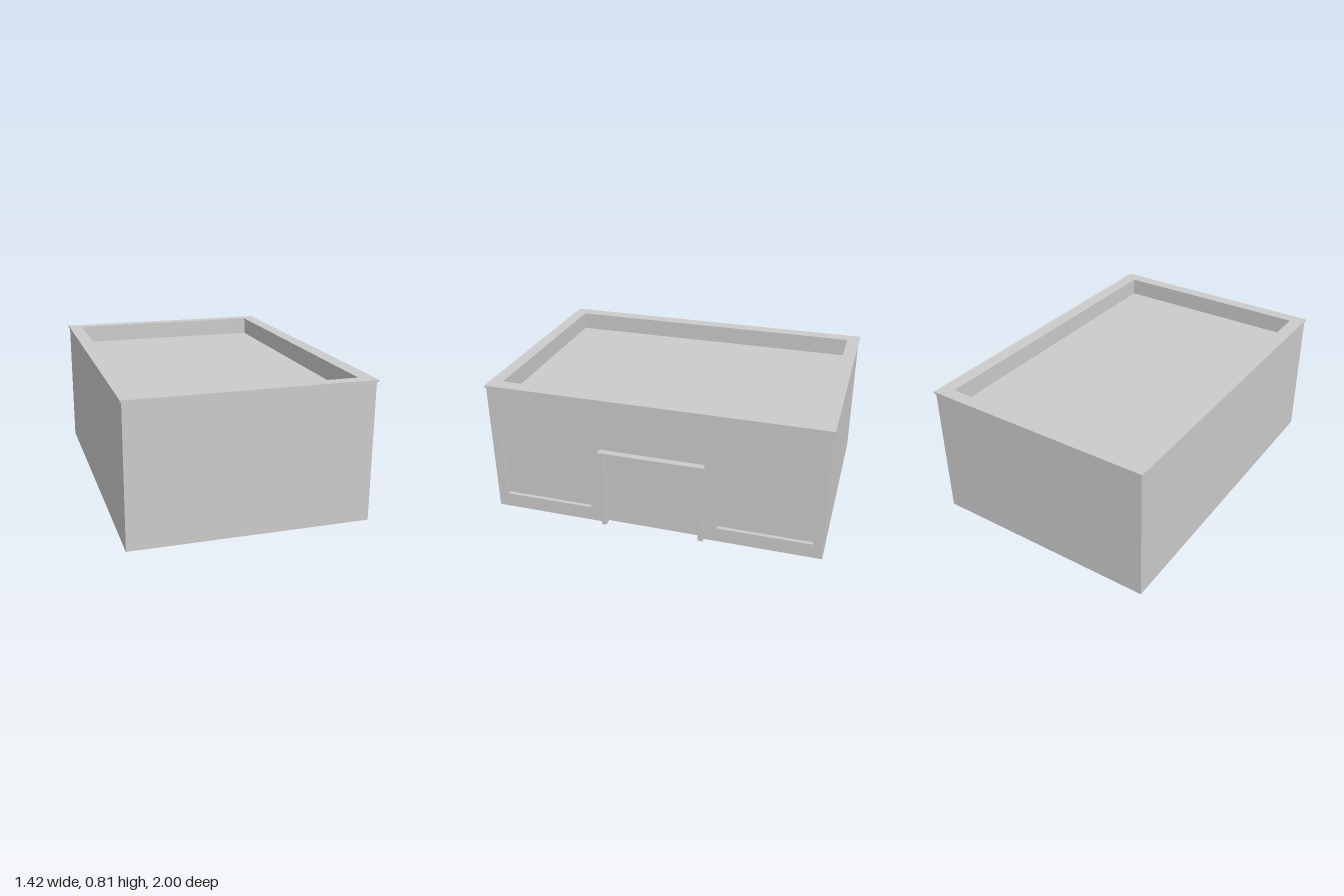
import * as THREE from 'three';

const X0 = -0.703, X1 = 0.669, Z = 0.993;    // outer wall planes
const IX0 = -0.634, IX1 = 0.6, IZ = 0.93;    // inner parapet planes
const WALL_TOP = 0.799, TOP = 0.81, DECK = 0.698;
const PANE = 0.645;                          // plane of the recessed panes and door

const solid = new THREE.MeshStandardMaterial({ color: 0xcccccc, flatShading: true });
const sheet = new THREE.MeshStandardMaterial({ color: 0xcccccc, flatShading: true, side: THREE.DoubleSide });

const rect = (x0, y0, x1, y1, Type = THREE.Shape) =>
  new Type([[x0, y0], [x1, y0], [x1, y1], [x0, y1]].map(p => new THREE.Vector2(...p)));

const polygon = pts => new THREE.Shape(pts.map(p => new THREE.Vector2(...p)));

function add(parent, name, geometry, material) {
  const mesh = new THREE.Mesh(geometry, material);
  mesh.name = name;
  parent.add(mesh);
  return mesh;
}

// Flat four-cornered sheet, corners counter-clockwise from its front
function quad(parent, name, ...corners) {
  const g = new THREE.BufferGeometry();
  g.setAttribute('position', new THREE.Float32BufferAttribute(corners.flat(), 3));
  g.setIndex([0, 1, 2, 0, 2, 3]);
  g.computeVertexNormals();
  return add(parent, name, g, sheet);
}

// Vertical sheets around a rectangle, facing outward or inward
function ring(parent, name, x0, x1, z, y0, y1, inward, skipRight) {
  const c = [[x0, z], [x1, z], [x1, -z], [x0, -z]];
  c.forEach(([ax, az], i) => {
    if (skipRight && i === 1) return;
    const [bx, bz] = c[(i + 1) % 4];
    const q = [[ax, y0, az], [bx, y0, bz], [bx, y1, bz], [ax, y1, az]];
    quad(parent, name, ...(inward ? q.reverse() : q));
  });
}

// Recess behind an opening in the right wall: back panel and reveals
function recess(parent, name, z0, z1, y0, y1, withSill) {
  const g = new THREE.Group();
  g.name = name;
  const a = PANE, b = X1;
  quad(g, name + 'Panel', [a, y0, z1], [a, y0, z0], [a, y1, z0], [a, y1, z1]);
  quad(g, name + 'Head', [a, y1, z0], [b, y1, z0], [b, y1, z1], [a, y1, z1]);
  quad(g, name + 'SideBack', [a, y0, z0], [b, y0, z0], [b, y1, z0], [a, y1, z0]);
  quad(g, name + 'SideFront', [b, y0, z1], [a, y0, z1], [a, y1, z1], [b, y1, z1]);
  if (withSill) quad(g, name + 'Sill', [a, y0, z1], [b, y0, z1], [b, y0, z0], [a, y0, z0]);
  parent.add(g);
}

export function createModel() {
  const model = new THREE.Group();
  model.name = 'building';

  // Plain outer walls, open underneath
  ring(model, 'outerWall', X0, X1, Z, 0, WALL_TOP, false, true);

  // Right wall, with the doorway notch and two window openings
  const wall = polygon([[-Z, 0], [-0.282, 0], [-0.282, 0.458], [0.282, 0.458],
    [0.282, 0], [Z, 0], [Z, WALL_TOP], [-Z, WALL_TOP]]);
  for (const s of [-1, 1]) {
    const [z0, z1] = s < 0 ? [-0.935, -0.385] : [0.385, 0.935];
    wall.holes.push(rect(z0, 0.088, z1, 0.458, THREE.Path));
    recess(model, 'window', z0, z1, 0.088, 0.458, true);
  }
  const front = add(model, 'entranceWall', new THREE.ShapeGeometry(wall), sheet);
  front.rotation.y = Math.PI / 2;
  front.position.x = X1;

  // Doorway, its projecting frame and the thin ledge on top
  recess(model, 'door', -0.282, 0.282, 0, 0.458, false);
  const surround = polygon([[-0.31, 0], [-0.282, 0], [-0.282, 0.458], [0.282, 0.458],
    [0.282, 0], [0.31, 0], [0.31, 0.487], [-0.31, 0.487]]);
  const frame = add(model, 'doorFrame',
    new THREE.ExtrudeGeometry(surround, { depth: 0.027, bevelEnabled: false }), solid);
  frame.rotation.y = Math.PI / 2;
  frame.position.x = X1;
  const ledge = add(model, 'doorLedge', new THREE.BoxGeometry(0.041, 0.008, 0.624), solid);
  ledge.position.set(X1 + 0.0205, 0.491, 0);

  // Parapet inside faces and the sunken roof deck
  ring(model, 'parapetInside', IX0, IX1, IZ, DECK, WALL_TOP, true, false);
  quad(model, 'roofDeck', [IX0, DECK, IZ], [IX1, DECK, IZ], [IX1, DECK, -IZ], [IX0, DECK, -IZ]);

  // Coping slab that overhangs both sides of the parapet
  const coping = rect(-0.711, -1, 0.678, 1);
  coping.holes.push(rect(-0.628, -0.924, 0.594, 0.924, THREE.Path));
  const cap = add(model, 'parapetCoping',
    new THREE.ExtrudeGeometry(coping, { depth: TOP - WALL_TOP, bevelEnabled: false }), solid);
  cap.rotation.x = -Math.PI / 2;
  cap.position.y = WALL_TOP;

  return model;
}
